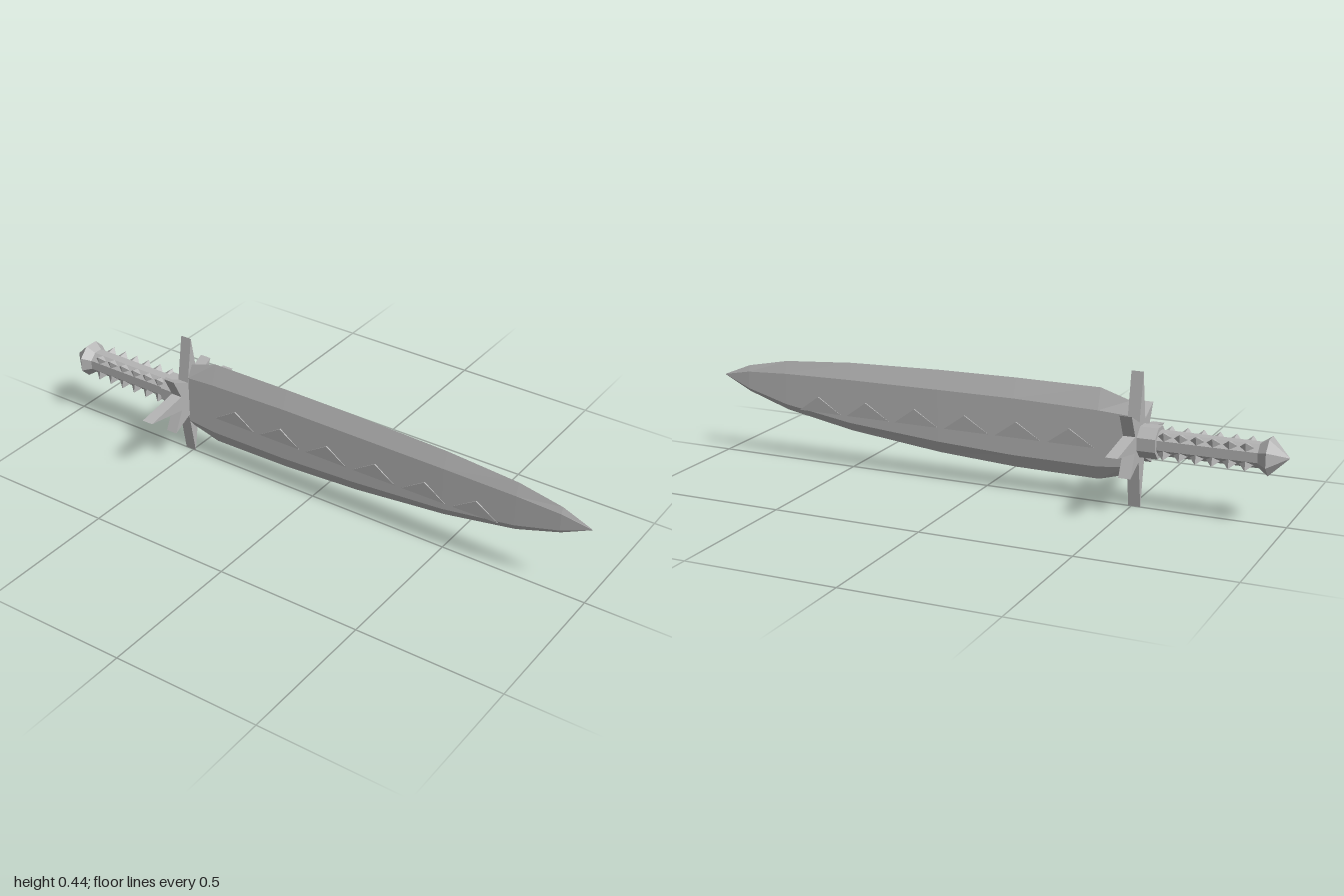
import * as THREE from 'three';

const CY = 0.222; // height of the sword's long axis

export function createModel() {
  const steel = new THREE.MeshStandardMaterial({ color: 0xb4b4b4 });
  steel.name = 'greySteel';
  steel.flatShading = true;
  const root = new THREE.Group();
  root.name = 'sword';

  const add = (name, geometry, parent = root) => {
    const mesh = new THREE.Mesh(geometry, steel);
    mesh.name = name;
    parent.add(mesh);
    return mesh;
  };

  // Blade stations: x, top edge, upper shoulder, lower shoulder, bottom edge, half thickness
  const stations = [
    [-0.49, 0.345, 0.302, 0.135, 0.105, 0.023],
    [-0.39, 0.377, 0.308, 0.124, 0.077, 0.023],
    [-0.1, 0.378, 0.314, 0.125, 0.08, 0.0225],
    [0.17, 0.375, 0.313, 0.137, 0.095, 0.022],
    [0.5, 0.365, 0.31, 0.161, 0.13, 0.019],
    [0.75, 0.346, 0.304, 0.197, 0.175, 0.014],
    [0.9, 0.316, 0.295, 0.236, 0.224, 0.009],
    [1, 0.275, 0.2745, 0.2735, 0.273, 0.0005],
  ];
  const halfThickness = (x) => {
    let i = 0;
    while (i < stations.length - 2 && stations[i + 1][0] < x) i++;
    const [a, b] = [stations[i], stations[i + 1]];
    return THREE.MathUtils.lerp(a[5], b[5], (x - a[0]) / (b[0] - a[0]));
  };

  // Six-sided blade lofted through the stations
  const loops = stations.map(([x, t, u, l, b, z]) => [
    [x, t, 0], [x, u, z], [x, l, z], [x, b, 0], [x, l, -z], [x, u, -z],
  ]);
  const pos = [];
  const tri = (...points) => points.forEach((p) => pos.push(...p));
  for (let i = 0; i < loops.length - 1; i++) {
    for (let j = 0; j < 6; j++) {
      const k = (j + 1) % 6;
      tri(loops[i][j], loops[i][k], loops[i + 1][j]);
      tri(loops[i][k], loops[i + 1][k], loops[i + 1][j]);
    }
  }
  const last = loops.length - 1;
  for (let j = 1; j < 5; j++) {
    tri(loops[0][0], loops[0][j + 1], loops[0][j]);
    tri(loops[last][0], loops[last][j], loops[last][j + 1]);
  }
  const blade = new THREE.BufferGeometry();
  blade.setAttribute('position', new THREE.Float32BufferAttribute(pos, 3));
  blade.computeVertexNormals();
  add('blade', blade);

  // Raised triangles, leaning outward at the apex on both faces of the blade
  const triangles = new THREE.Group();
  triangles.name = 'bladeTriangles';
  root.add(triangles);
  for (let i = 0; i < 6; i++) {
    const x = -0.295 + i * 0.183;
    const shape = new THREE.Shape([
      new THREE.Vector2(x - 0.085, 0.184),
      new THREE.Vector2(x + 0.075, 0.184),
      new THREE.Vector2(x, 0.238),
    ]);
    const g = new THREE.ExtrudeGeometry(shape, { depth: 1, bevelEnabled: false });
    const p = g.attributes.position;
    for (let v = 0; v < p.count; v++) {
      const lift = p.getY(v) > 0.2 ? 0.005 : 0.0008;
      const z = halfThickness(p.getX(v)) + lift;
      p.setZ(v, p.getZ(v) > 0.5 ? z : -z);
    }
    g.computeVertexNormals();
    add('bladeTriangle', g, triangles);
  }

  // Eight-pointed star guard: long axis points, shorter diagonal points
  const star = [];
  for (let i = 0; i < 16; i++) {
    const a = (i * Math.PI) / 8;
    const r = i % 4 === 0 ? 0.22 : i % 2 === 0 ? 0.141 : 0.069;
    star.push(new THREE.Vector2(Math.cos(a) * r, Math.sin(a) * r));
  }
  const guard = new THREE.ExtrudeGeometry(new THREE.Shape(star), { depth: 0.04, bevelEnabled: false });
  guard.rotateY(Math.PI / 2);
  add('starGuard', guard).position.set(-0.53, CY, 0);

  // Octagonal grip, collar and pommel, with flat sides facing the axes
  const rod = (name, x0, x1, r0, r1) => {
    const g = new THREE.CylinderGeometry(r1, r0, x1 - x0, 8);
    g.rotateY(Math.PI / 8);
    g.rotateZ(-Math.PI / 2);
    add(name, g).position.set((x0 + x1) / 2, CY, 0);
  };
  rod('grip', -0.93, -0.53, 0.041, 0.041);
  rod('collar', -0.59, -0.53, 0.054, 0.054);
  rod('pommelTip', -1, -0.94, 0.001, 0.062);
  rod('pommelBase', -0.94, -0.91, 0.062, 0.041);

  // Rows of small spikes along the four diagonals of the grip
  const spikes = new THREE.Group();
  spikes.name = 'gripSpikes';
  root.add(spikes);
  for (let side = 0; side < 4; side++) {
    const row = new THREE.Group();
    row.name = 'spikeRow';
    row.position.y = CY;
    row.rotation.x = Math.PI / 4 + (side * Math.PI) / 2;
    spikes.add(row);
    for (let i = 0; i < 6; i++) {
      const g = new THREE.ConeGeometry(0.027, 0.03, 4);
      g.scale(1, 1, 0.7);
      add('gripSpike', g, row).position.set(-0.873 + i * 0.052, 0.048, 0);
    }
  }
  return root;
}
